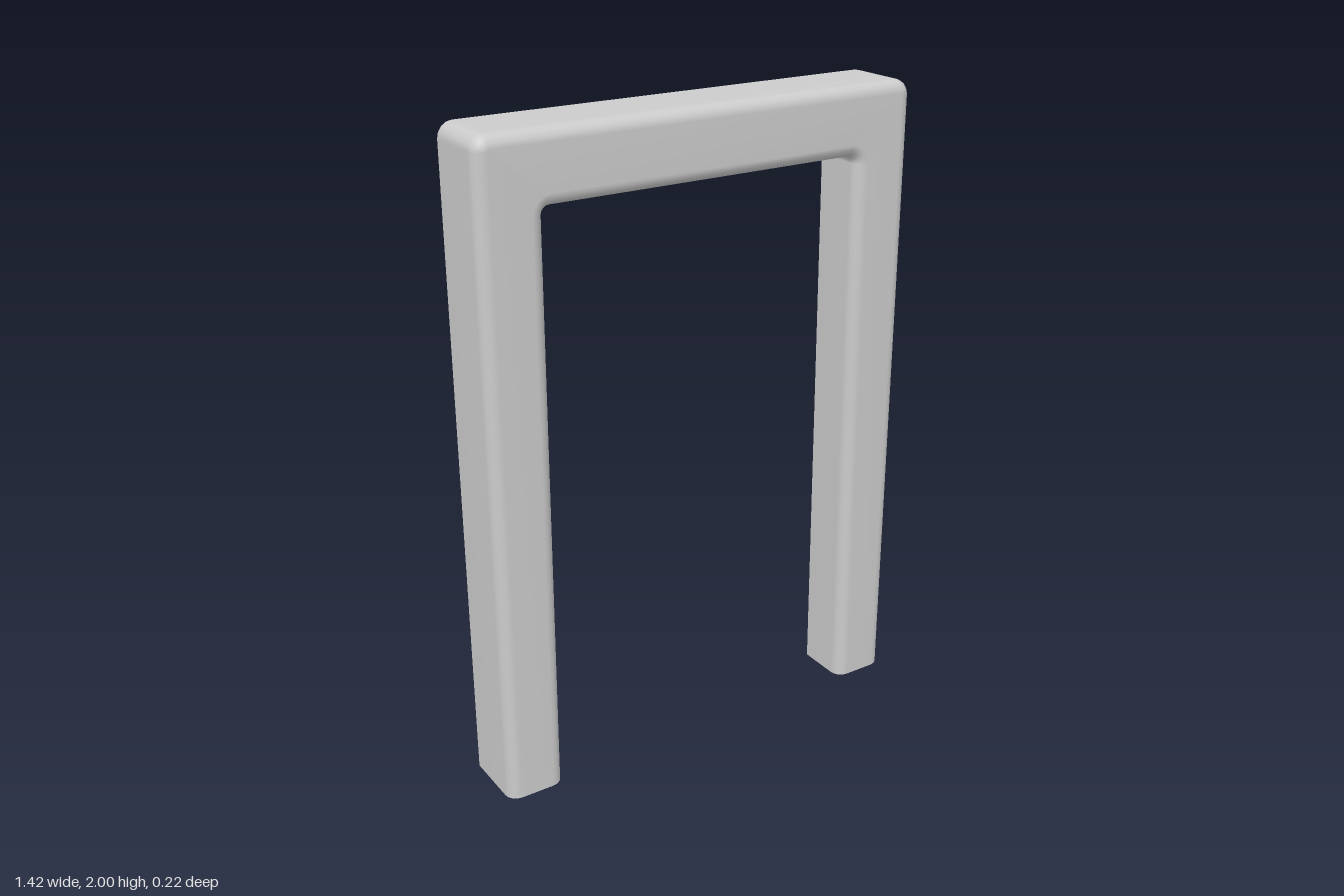
import * as THREE from 'three';

const SEG = 4; // segments per rounded corner and rounded edge

// Open arch outline: up the left leg, round two corners, down the right leg
function archOutline(footX, topX, topY, radius) {
  const half = [[footX, 0]];
  for (let i = 0; i <= SEG; i++) {
    const a = (i / SEG) * Math.PI / 2;
    half.push([topX - radius + radius * Math.cos(a), topY - radius + radius * Math.sin(a)]);
  }
  const mirrored = half.map(([x, y]) => [-x, y]);
  return [...mirrored, ...half.reverse()];
}

// Outlines shrink (outer) or grow (inner) as the edge rounds onto the front
const outer = (d) => archOutline(0.712 - d, 0.712 - d, 2 - d, Math.max(0.045 - d, 0.005));
const inner = (d) => archOutline(0.53 + d, 0.518 + d, 1.79 + d, 0.022 + d);

function createShell() {
  const front = 0.108, back = -0.108, innerBack = -0.065, r = 0.038;
  const rings = [{ pts: outer(0), z: back }];
  for (let i = 0; i <= SEG; i++) {
    const a = (i / SEG) * Math.PI / 2;
    rings.push({ pts: outer(r * (1 - Math.cos(a))), z: front - r + r * Math.sin(a) });
  }
  for (let i = SEG; i >= 0; i--) {
    const a = (i / SEG) * Math.PI / 2;
    rings.push({ pts: inner(r * (1 - Math.cos(a))), z: front - r + r * Math.sin(a) });
  }
  rings.push({ pts: inner(0), z: innerBack });

  // Skin the rings into one smooth surface, open at the back and feet
  const n = rings[0].pts.length;
  const pos = [], index = [];
  for (const { pts, z } of rings) for (const [x, y] of pts) pos.push(x, y, z);
  for (let j = 0; j < rings.length - 1; j++) {
    for (let i = 0; i < n - 1; i++) {
      const a = j * n + i, b = a + 1, c = a + n, d = c + 1;
      index.push(a, c, b, b, c, d);
    }
  }
  const geo = new THREE.BufferGeometry();
  geo.setAttribute('position', new THREE.Float32BufferAttribute(pos, 3));
  geo.setIndex(index);
  geo.computeVertexNormals();
  return geo;
}

export function createModel() {
  const group = new THREE.Group();
  group.name = 'doorFrame';
  const material = new THREE.MeshStandardMaterial({ color: 0xcccccc, side: THREE.DoubleSide });
  const shell = new THREE.Mesh(createShell(), material);
  shell.name = 'frameShell';
  group.add(shell);
  return group;
}
